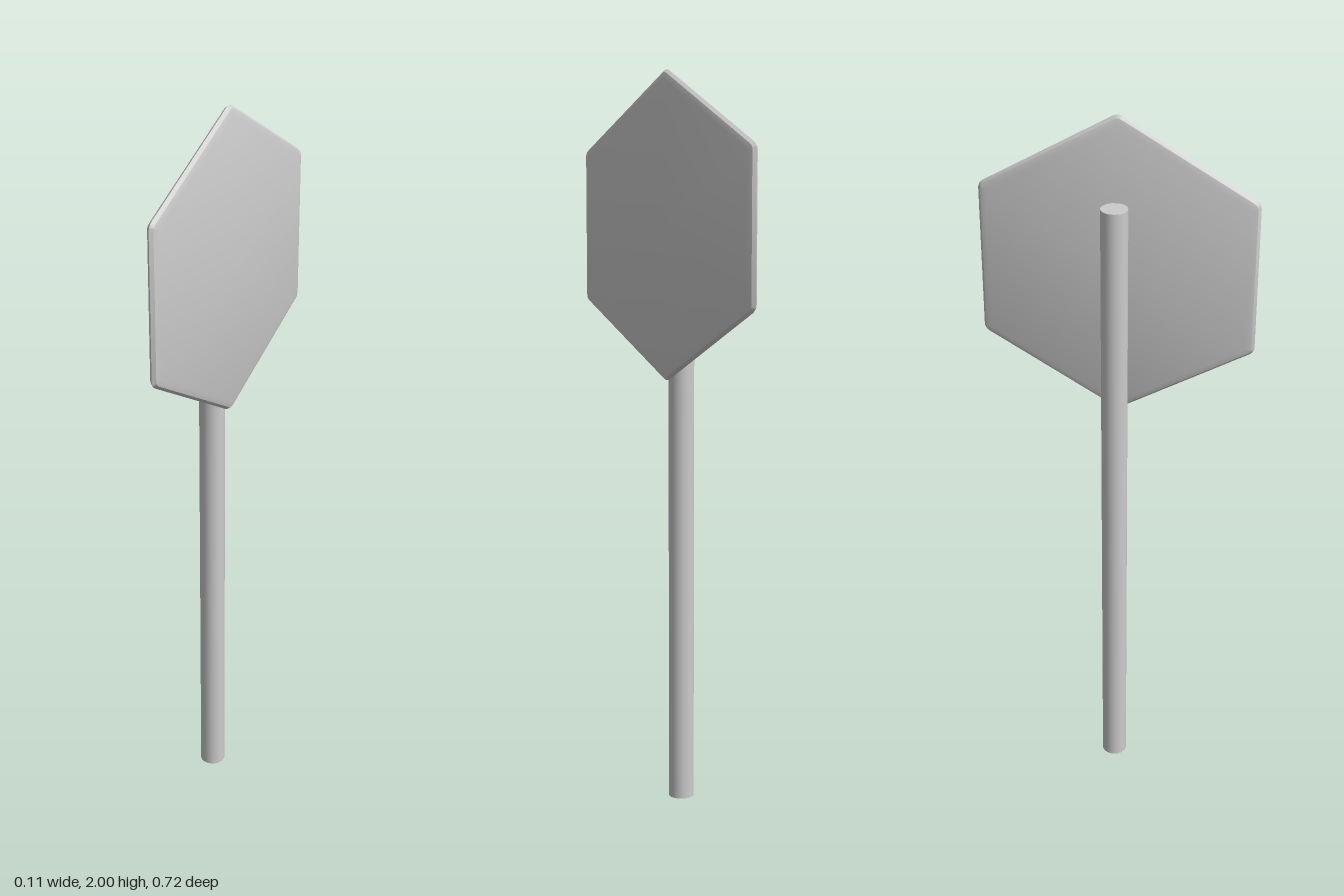
import * as THREE from 'three';
import { toCreasedNormals } from 'three/addons/utils/BufferGeometryUtils.js';

const material = new THREE.MeshStandardMaterial({ color: 0xcccccc });

// Hexagon with a corner up and slightly rounded corners, as [z, y] pairs
function hexagon(radius, round) {
  const points = [];
  const centre = radius - round;
  for (let i = 0; i < 6; i++) {
    const a = Math.PI / 2 + (i * Math.PI) / 3;
    for (let k = -2; k <= 2; k++) {
      const b = a + (k * Math.PI) / 12;
      points.push([centre * Math.cos(a) + round * Math.cos(b),
        centre * Math.sin(a) + round * Math.sin(b)]);
    }
  }
  return points;
}

// Slightly domed plate with a bevelled rim, lofted along x from hexagon rings
function plateGeometry() {
  const half = [[0.388, 0.014], [0.404, 0.009]]; // corner radius, half thickness
  const profile = [
    ...half.map(([r, x]) => [r, x]),
    [0.411, 0],
    ...half.slice().reverse().map(([r, x]) => [r, -x]),
  ];
  const position = [0.0195, 0, 0];
  const index = [];
  const n = 30;
  for (const [r, x] of profile) {
    const round = Math.max(0.006, 0.025 - (0.411 - r));
    for (const [z, y] of hexagon(r, round)) position.push(x, y, z);
  }
  position.push(-0.0195, 0, 0);
  const back = position.length / 3 - 1;
  const last = 1 + (profile.length - 1) * n;
  for (let i = 0; i < n; i++) {
    const j = (i + 1) % n;
    index.push(0, 1 + j, 1 + i, back, last + i, last + j);
    for (let k = 0; k < profile.length - 1; k++) {
      const a = 1 + k * n, b = a + n;
      index.push(a + i, a + j, b + i, a + j, b + j, b + i);
    }
  }
  const geometry = new THREE.BufferGeometry();
  geometry.setAttribute('position', new THREE.Float32BufferAttribute(position, 3));
  geometry.setIndex(index);
  return toCreasedNormals(geometry, 0.35);
}

export function createModel() {
  const group = new THREE.Group();
  group.name = 'roadSign';

  // Round post
  const post = new THREE.Mesh(new THREE.CylinderGeometry(0.035, 0.035, 1.775, 32), material);
  post.name = 'post';
  post.position.set(-0.0175, 0.8875, 0);
  group.add(post);

  // Hexagonal plate on the +x side of the post
  const plate = new THREE.Mesh(plateGeometry(), material);
  plate.name = 'signPlate';
  plate.position.set(0.033, 1.589, 0);
  group.add(plate);

  return group;
}
